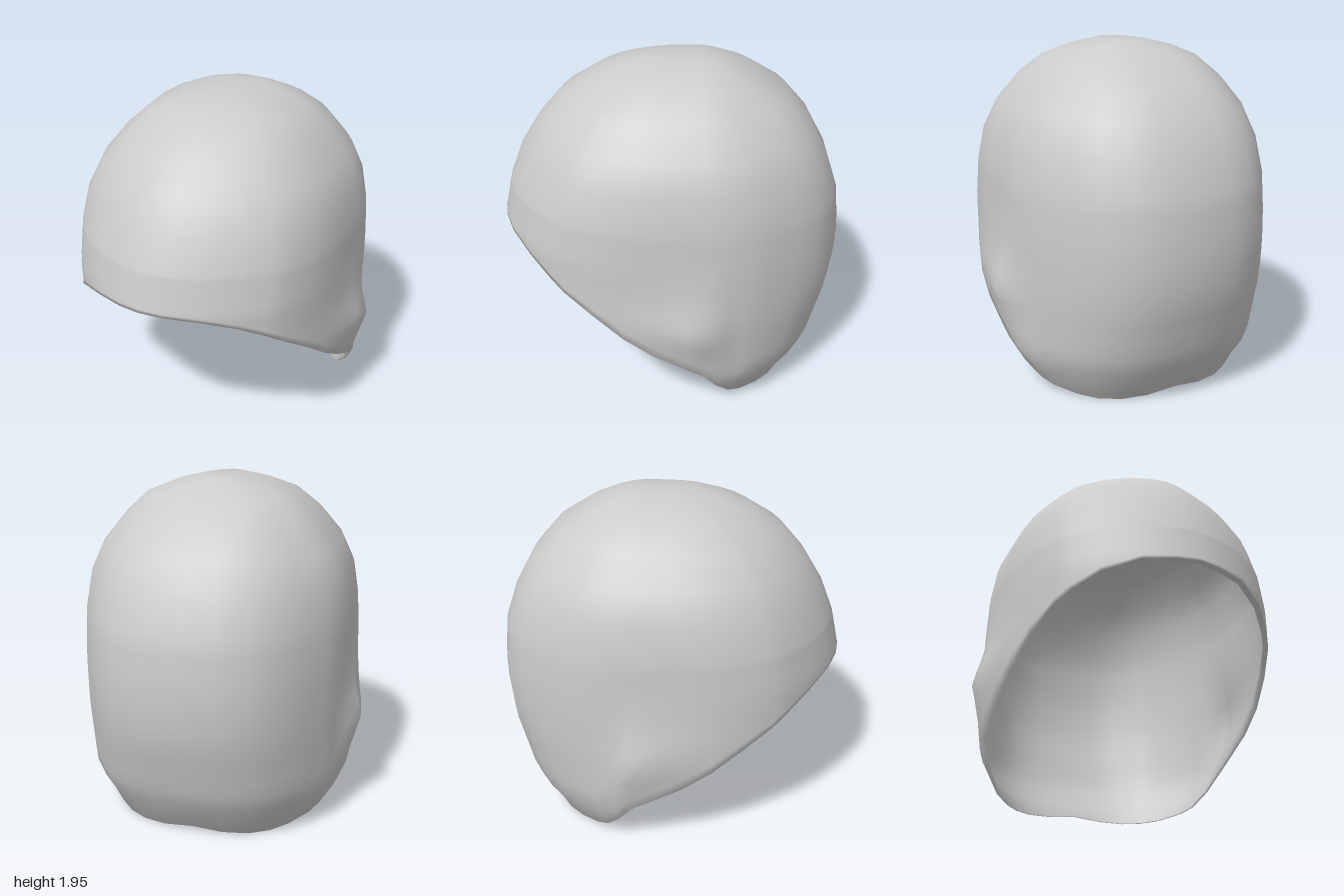
import * as THREE from 'three';
import { mergeVertices } from 'three/addons/utils/BufferGeometryUtils.js';

const Z0 = -0.15; // depth of the widest point of every section
const FULL = 0.78; // half width of the widest section

// Section sizes by height: [y, half width, front z, back z]
const SECTIONS = [
  [1.95, 0, Z0, Z0], [1.945, 0.12, 0.14, -0.26], [1.91, 0.27, 0.29, -0.36],
  [1.85, 0.42, 0.45, -0.49], [1.74, 0.54, 0.63, -0.67], [1.58, 0.67, 0.77, -0.81],
  [1.42, 0.74, 0.87, -0.9], [1.22, 0.77, 0.95, -0.97], [1, 0.78, 1, -0.995],
  [0.85, 0.78, 1, -1], [0.64, 0.78, 1, -0.98], [0.24, 0.77, 1, -0.87],
  [0.07, 0.69, 1, -0.75], [0, 0.66, 1, -0.72],
];

// Left half of the outline from front to back: [x, z, height of the rim]
const OUTLINE = [
  [0, 1, 1], [0.13, 0.98, 0.995], [0.3, 0.92, 0.985], [0.48, 0.8, 0.93], [0.6, 0.68, 0.85],
  [0.66, 0.6, 0.79], [0.73, 0.44, 0.68], [0.765, 0.27, 0.55], [0.78, 0.1, 0.44],
  [0.78, -0.08, 0.34], [0.78, -0.19, 0.28], [0.77, -0.3, 0.16], [0.74, -0.42, 0.07],
  [0.7, -0.53, 0.04], [0.6, -0.7, 0.01], [0.5, -0.83, 0], [0.37, -0.93, 0],
  [0.2, -0.99, 0.01], [0, -1, 0.03],
];

// Swelling over the ears, by height and by depth
const FLARE_Y = [[1, 0], [0.8, 0.3], [0.6, 1], [0.35, 0.25], [0.2, 0]];
const FLARE_Z = [[0.45, 0], [0.2, 0.25], [0, 0.55], [-0.17, 1], [-0.32, 0]];

// Linear lookup in a table whose first column descends
function lookup(table, key, column) {
  if (key >= table[0][0]) return table[0][column];
  for (let i = 1; i < table.length; i++) {
    const a = table[i - 1], b = table[i];
    if (key >= b[0]) return THREE.MathUtils.lerp(b[column], a[column], (key - b[0]) / (a[0] - b[0]));
  }
  return table[table.length - 1][column];
}

// Point of the surface on one outline column at height y
function surfacePoint([x, z], y, side) {
  const width = lookup(SECTIONS, y, 1);
  const reach = z > Z0 ? lookup(SECTIONS, y, 2) - Z0 : Z0 - lookup(SECTIONS, y, 3);
  const pz = Z0 + (z - Z0) * reach / (z > Z0 ? 1 - Z0 : 1 + Z0);
  const px = x / FULL * width + 0.095 * lookup(FLARE_Y, y, 1) * lookup(FLARE_Z, pz, 1);
  return new THREE.Vector3(side * px, y, pz);
}

export function createModel() {
  const group = new THREE.Group();
  group.name = 'headShell';

  // Full loop of columns: left half, then its mirror
  const columns = OUTLINE.map((p) => ({ p, side: 1 }));
  for (let i = OUTLINE.length - 2; i > 0; i--) columns.push({ p: OUTLINE[i], side: -1 });

  // Level rings over the dome, then rings that slant down to the rim
  const rings = SECTIONS.slice(0, 8).map(([y]) => columns.map((c) => surfacePoint(c.p, y, c.side)));
  const steps = 12;
  for (let i = 1; i <= steps; i++) {
    rings.push(columns.map((c) => surfacePoint(c.p, THREE.MathUtils.lerp(1.22, c.p[2], i / steps), c.side)));
  }

  // Thin inner lining, from the rim back up to the crown
  const lining = rings.map((ring) => ring.map((v) => new THREE.Vector3(
    v.x * 0.97,
    v.y > 1 ? 1 + (v.y - 1) * 0.97 : v.y,
    Z0 + (v.z - Z0) * 0.97,
  ))).reverse();
  const all = [...rings, ...lining];

  const n = columns.length, index = [];
  for (let i = 0; i < all.length - 1; i++) {
    for (let j = 0; j < n; j++) {
      const a = i * n + j, b = i * n + (j + 1) % n;
      index.push(a, a + n, b, b, a + n, b + n);
    }
  }
  let geometry = new THREE.BufferGeometry().setFromPoints(all.flat());
  geometry.setIndex(index);
  geometry = mergeVertices(geometry, 1e-4);
  geometry.computeVertexNormals();

  const shell = new THREE.Mesh(geometry, new THREE.MeshStandardMaterial({ color: 0xcccccc, side: THREE.DoubleSide }));
  shell.name = 'cap';
  group.add(shell);
  return group;
}
